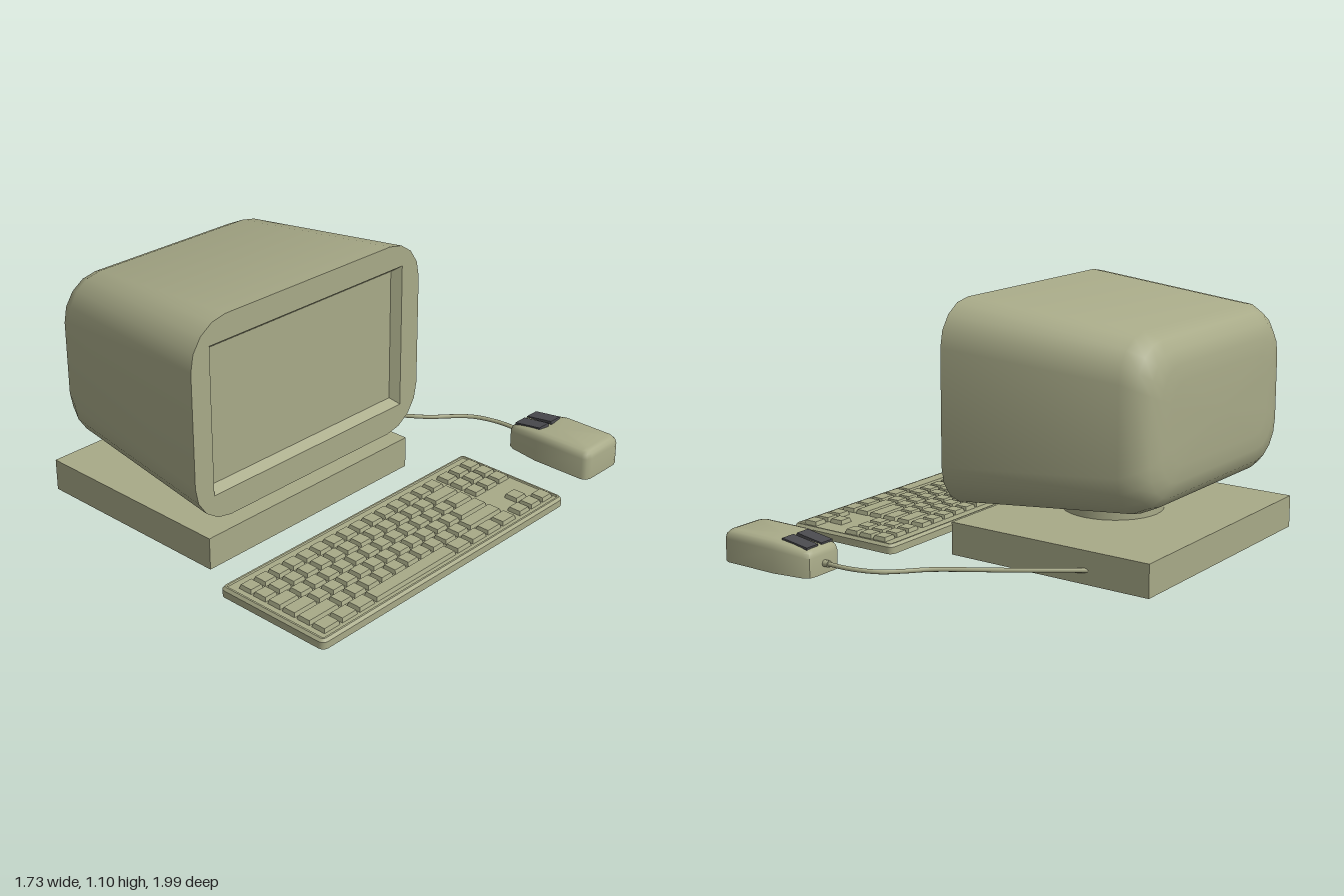
import * as THREE from 'three';
import { mergeGeometries, toCreasedNormals } from 'three/addons/utils/BufferGeometryUtils.js';

const beige = new THREE.MeshStandardMaterial({ color: 0xa8aa88 });
const dark = new THREE.MeshStandardMaterial({ color: 0x4a4a4e });

// Rounded rectangle as [a, b] pairs, counter-clockwise
function roundRect(ha, hb, r, seg = 3) {
  const pts = [];
  [[1, 1], [-1, 1], [-1, -1], [1, -1]].forEach(([sa, sb], k) => {
    for (let i = 0; i <= seg; i++) {
      const t = (k + i / seg) * Math.PI / 2;
      pts.push([sa * (ha - r) + r * Math.cos(t), sb * (hb - r) + r * Math.sin(t)]);
    }
  });
  return pts;
}

// Skin over rings of Vector3, with optional end caps and creased normals
function loft(rings, capStart, capEnd, crease = 0.75) {
  const n = rings[0].length, verts = rings.flat(), index = [];
  for (let i = 0; i < rings.length - 1; i++) {
    for (let j = 0; j < n; j++) {
      const a = i * n + j, b = i * n + (j + 1) % n;
      index.push(a, b, b + n, a, b + n, a + n);
    }
  }
  const cap = (ring, start, flip) => {
    const c = verts.length;
    verts.push(ring.reduce((s, p) => s.add(p), new THREE.Vector3()).divideScalar(n));
    for (let j = 0; j < n; j++) {
      const a = start + j, b = start + (j + 1) % n;
      index.push(...(flip ? [c, b, a] : [c, a, b]));
    }
  };
  if (capStart) cap(rings[0], 0, true);
  if (capEnd) cap(rings[rings.length - 1], (rings.length - 1) * n, false);
  const g = new THREE.BufferGeometry().setFromPoints(verts);
  g.setIndex(index);
  return toCreasedNormals(g, crease);
}

function add(parent, name, geometry, material = beige) {
  const mesh = new THREE.Mesh(geometry, material);
  mesh.name = name;
  parent.add(mesh);
  return mesh;
}

function createMonitor() {
  const group = new THREE.Group();
  group.name = 'monitor';
  const cy = 0.655, cz = 0.27, frontX = 0.115;
  const ringX = (x, pts, y0 = cy, z0 = cz) => pts.map(([y, z]) => new THREE.Vector3(x, y0 + y, z0 + z));

  // Housing: rounded back, widening towards the screen
  const stations = [
    [-0.842, 0.175, 0.4, 0.1], [-0.836, 0.243, 0.468, 0.13], [-0.82, 0.303, 0.528, 0.16],
    [-0.78, 0.345, 0.57, 0.18], [-0.712, 0.375, 0.6, 0.185], [frontX, 0.445, 0.67, 0.19],
  ];
  add(group, 'monitorHousing', loft(stations.map(([x, hy, hz, r]) => ringX(x, roundRect(hy, hz, r, 4))), true, false));

  // Front bezel with a rectangular opening
  const oy = 0.66, oz = 0.275, hy = 0.33, hz = 0.565;
  const shape = new THREE.Shape(roundRect(0.445, 0.67, 0.19, 4).map(([y, z]) => new THREE.Vector2(-(cz + z), cy + y)));
  shape.holes.push(new THREE.Path([[-1, -1], [-1, 1], [1, 1], [1, -1]].map(([a, b]) =>
    new THREE.Vector2(-oz + a * hz, oy + b * hy))));
  add(group, 'screenBezel', new THREE.ShapeGeometry(shape).rotateY(Math.PI / 2).translate(frontX, 0, 0));

  // Sloped recess and screen
  const rect = (a, b) => [[a, b], [-a, b], [-a, -b], [a, -b]];
  add(group, 'screen', loft([
    ringX(frontX, rect(hy, hz), oy, oz),
    ringX(frontX - 0.04, rect(hy - 0.028, hz - 0.028), oy, oz),
  ], false, true, 0.2));

  // Swivel neck
  add(group, 'neck', new THREE.CylinderGeometry(0.225, 0.225, 0.2, 32)).position.set(-0.31, 0.24, 0.275);
  return group;
}

function createKeyboard() {
  const group = new THREE.Group();
  group.name = 'keyboard';
  const cx = 0.578, cz = 0.236;

  // Case with bevelled edge and a low rim around the deck
  const profile = [[0.012, 0], [0.043, 0], [0.055, 0.01], [0.055, 0.018], [0.05, 0.022]];
  add(group, 'keyboardCase', loft(profile.map(([y, inset]) =>
    roundRect(0.757 - inset, 0.283 - inset, 0.026 - inset).map(([z, x]) =>
      new THREE.Vector3(cx + x, y, cz + z))), true, true, 0.6));

  // Tapered key caps
  const pitch = 0.0794, keys = [];
  const addKey = (column, z, units) => {
    const w = 0.07, d = units * pitch - 0.01, g = new THREE.BoxGeometry(w, 0.022, d);
    const p = g.attributes.position;
    for (let i = 0; i < p.count; i++) {
      if (p.getY(i) > 0) {
        p.setX(i, p.getX(i) - Math.sign(p.getX(i)) * 0.006);
        p.setZ(i, p.getZ(i) - Math.sign(p.getZ(i)) * 0.006);
      }
    }
    g.computeVertexNormals();
    keys.push(g.translate(0.392 + column * pitch, 0.057, z + units * pitch / 2));
  };

  // Main block: key widths in units, per column
  const ones = (n) => Array(n).fill(1);
  const rows = [
    ones(15),
    [2, ...ones(13)],
    [1.5, ...ones(12), 1.5],
    [2.25, ...ones(11), 1.75],
    [2.75, ...ones(10), 2.25],
    [1.25, 1.25, 1.25, 1.25, 6.25, 1.25, 1.25, 1.25],
  ];
  rows.forEach((row, column) => {
    let z = -0.238;
    for (const units of row) {
      addKey(column, z, units);
      z += units * pitch;
    }
  });

  // Navigation block and arrow keys
  const navZ = (k) => -0.494 + k * pitch;
  for (let column = 0; column < 3; column++) for (let k = 0; k < 3; k++) addKey(column, navZ(k), 1);
  for (const [column, k] of [[5, 0], [5, 1], [5, 2], [4, 1]]) addKey(column, navZ(k), 1);
  add(group, 'keys', mergeGeometries(keys));
  return group;
}

function createMouse() {
  const group = new THREE.Group();
  group.name = 'mouse';
  const cx = 0.585, cz = -0.877;

  // Half outline: x and half width, nose first
  const half = [[0.355, 0.06], [0.36, 0.085], [0.385, 0.1], [0.53, 0.123], [0.785, 0.123], [0.806, 0.112], [0.815, 0.088]];
  const outline = [...half, ...half.map(([x, h]) => [x, -h]).reverse()];
  const topY = (x) => 0.155 - Math.max(0, 0.53 - x) * 0.14;
  const levels = [[0, 0], [0.72, 0], [0.87, 0.005], [0.96, 0.016], [1, 0.034]];
  add(group, 'mouseBody', loft(levels.map(([t, inset]) => outline.map(([x, z]) => {
    const px = cx + (x - cx) * (1 - inset / 0.23);
    return new THREE.Vector3(px, 0.015 + t * (topY(px) - 0.015), cz + z * (1 - inset / 0.123));
  })), true, true, 0.8));

  // Two buttons lying on the sloped nose
  for (const side of [-1, 1]) {
    const button = add(group, side < 0 ? 'rearButton' : 'frontButton', new THREE.BoxGeometry(0.137, 0.02, 0.068), dark);
    button.position.set(0.448, topY(0.448) - 0.004, cz + side * 0.044);
    button.rotation.z = Math.atan(0.14);
  }

  // Cable to the back of the computer, with a strain relief at the nose
  const path = new THREE.CatmullRomCurve3([
    [0.37, -0.877], [0.22, -0.873], [0.1, -0.835], [0.02, -0.765], [-0.05, -0.69], [-0.3, -0.52], [-0.58, -0.325],
  ].map(([x, z]) => new THREE.Vector3(x, 0.06, z)));
  add(group, 'cable', new THREE.TubeGeometry(path, 48, 0.01, 8));
  const relief = add(group, 'strainRelief', new THREE.CylinderGeometry(0.015, 0.015, 0.04, 12));
  relief.position.set(0.35, 0.06, cz);
  relief.rotation.z = Math.PI / 2;
  return group;
}

export function createModel() {
  const model = new THREE.Group();
  model.name = 'desktopComputer';
  add(model, 'computerCase', new THREE.BoxGeometry(0.985, 0.145, 1.21)).position.set(-0.378, 0.0725, 0.27);
  model.add(createMonitor(), createKeyboard(), createMouse());
  return model;
}
